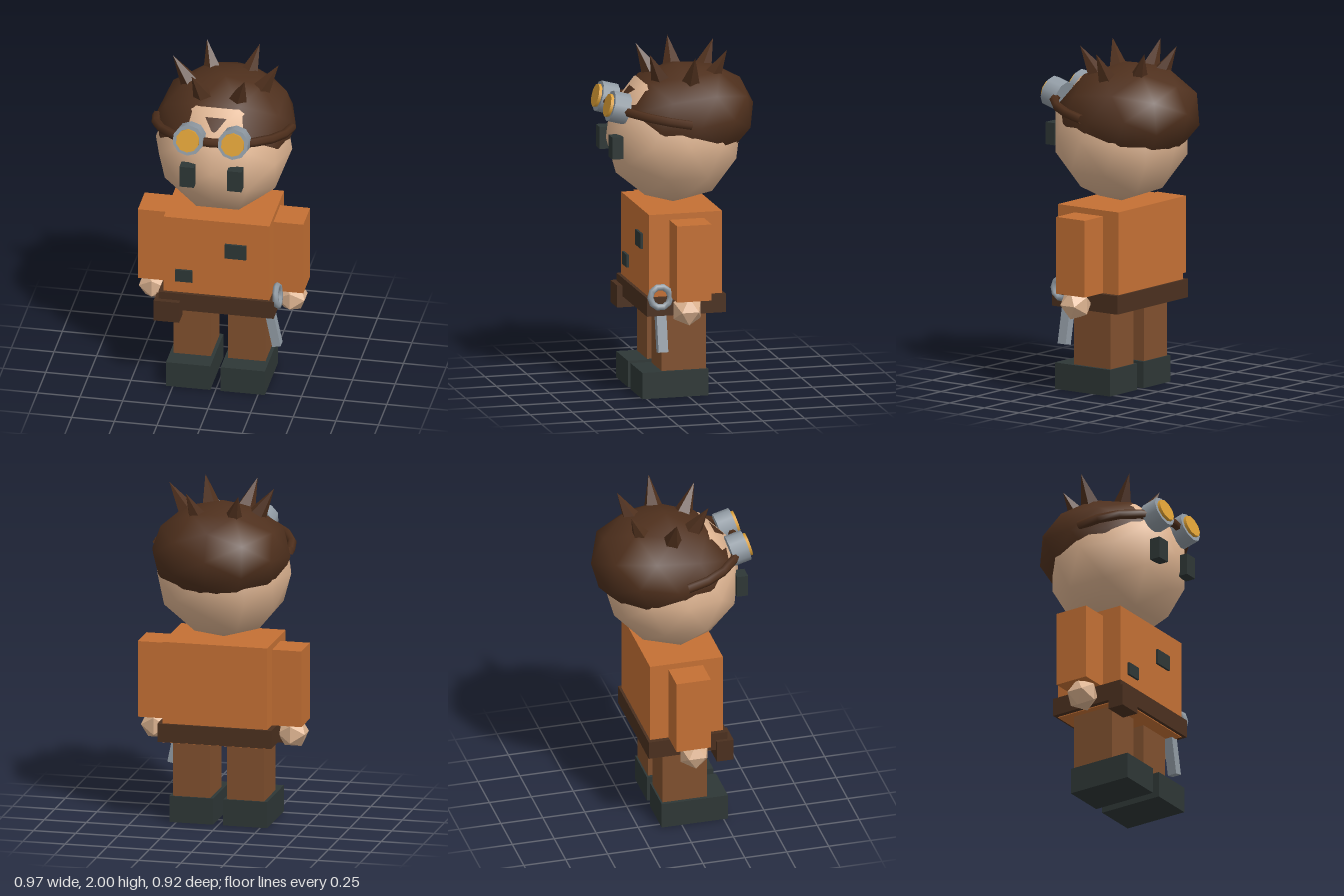
import * as THREE from 'three';

const mat = (name, color) => Object.assign(new THREE.MeshStandardMaterial({ color }), { name });

export function createModel() {
  const model = new THREE.Group();
  const orange = mat('orange jacket', 0xc47034);
  const trouser = mat('trouser brown', 0x80502e);
  const leather = mat('dark leather', 0x4b301f);
  const hairBrown = mat('hair brown', 0x4f301d);
  const charcoal = mat('charcoal', 0x2e3736);
  const skin = mat('skin', 0xdeb491);
  const metal = mat('grey metal', 0x919ba4);
  const amber = mat('amber glass', 0xdda036);
  const strapBrown = mat('strap brown', 0x4d2e1b);
  strapBrown.side = THREE.DoubleSide;

  function add(name, geometry, material, x = 0, y = 0, z = 0, parent = model) {
    const mesh = new THREE.Mesh(geometry, material);
    mesh.name = name;
    mesh.position.set(x, y, z);
    parent.add(mesh);
    return mesh;
  }
  // Box given by its limits on each axis
  function box(name, material, [x0, x1], [y0, y1], [z0, z1]) {
    return add(name, new THREE.BoxGeometry(x1 - x0, y1 - y0, z1 - z0), material,
      (x0 + x1) / 2, (y0 + y1) / 2, (z0 + z1) / 2);
  }
  const span = (s, a, b) => (s > 0 ? [a, b] : [-b, -a]);

  // Body, belt and jacket patches
  box('torso', orange, [-0.31, 0.31], [0.492, 1.09], [-0.195, 0.24]);
  box('belt', leather, [-0.338, 0.338], [0.497, 0.605], [-0.21, 0.26]);
  box('pouch', leather, [-0.36, -0.21], [0.43, 0.56], [0.19, 0.29]);
  box('chestPatch', charcoal, [0.05, 0.175], [0.86, 0.95], [0.23, 0.254]);
  box('lowerPatch', charcoal, [-0.24, -0.14], [0.68, 0.755], [0.23, 0.254]);

  // Limbs and eyes, mirrored
  for (const s of [1, -1]) {
    const side = s > 0 ? 'left' : 'right';
    box(side + 'Boot', charcoal, span(s, 0.03, 0.29), [0, 0.155], [-0.12, 0.275]);
    box(side + 'Leg', trouser, span(s, 0.05, 0.27), [0.15, 0.5], [-0.11, 0.155]);
    box(side + 'Arm', orange, span(s, 0.3, 0.485), [0.605, 1.055], [-0.085, 0.12]);
    add(side + 'Hand', new THREE.IcosahedronGeometry(0.095, 0), skin, s * 0.405, 0.54, 0.04);
    box(side + 'Eye', charcoal, span(s, 0.097, 0.182), [1.4, 1.53], [0.36, 0.425]);
  }

  // Head and hair cap
  add('head', new THREE.IcosahedronGeometry(0.4, 1), skin, 0, 1.49, 0.015);
  const hair = add('hair', new THREE.IcosahedronGeometry(1, 1), hairBrown, 0, 1.605, -0.045);
  hair.scale.set(0.41, 0.305, 0.42);
  hair.rotation.x = 0.1;

  // Ring of six hair spikes
  const up = new THREE.Vector3(0, 1, 0);
  for (let i = 0; i < 6; i++) {
    const a = (i * Math.PI) / 3;
    const tip = new THREE.Vector3(0.31 * Math.cos(a), 2, -0.035 + 0.266 * Math.sin(a));
    const base = new THREE.Vector3(0.18 * Math.cos(a), 1.79, -0.035 + 0.15 * Math.sin(a));
    const dir = tip.clone().sub(base);
    const cone = new THREE.ConeGeometry(0.075, dir.length(), 5).toNonIndexed();
    cone.computeVertexNormals();
    const spike = add('hairSpike', cone, hairBrown);
    spike.position.copy(base).add(tip).multiplyScalar(0.5);
    spike.quaternion.setFromUnitVectors(up, dir.normalize());
  }

  // Goggles pushed up on the forehead
  const strap = add('goggleStrap', new THREE.TorusGeometry(0.395, 0.027, 6, 10, Math.PI),
    strapBrown, 0, 1.625, 0.01);
  strap.rotation.x = Math.PI / 2 - 0.17;
  for (const s of [1, -1]) {
    const goggle = new THREE.Group();
    goggle.name = s > 0 ? 'leftGoggle' : 'rightGoggle';
    goggle.position.set(s * 0.132, 1.695, 0.377);
    goggle.rotation.x = Math.PI / 2 - 0.27;
    add('goggleRim', new THREE.CylinderGeometry(0.091, 0.091, 0.1, 10), metal, 0, 0, 0, goggle);
    add('goggleLens', new THREE.CylinderGeometry(0.068, 0.068, 0.03, 10), amber, 0, 0.053, 0, goggle);
    model.add(goggle);
  }

  // Wrench hung from the belt
  const handle = add('wrenchHandle', new THREE.BoxGeometry(0.05, 0.25, 0.058), metal, 0.318, 0.405, 0.17);
  handle.rotation.z = 0.2;
  const ring = add('wrenchRing', new THREE.TorusGeometry(0.06, 0.019, 6, 10), metal, 0.347, 0.61, 0.183);
  ring.rotation.set(0, Math.PI / 2, 0.1, 'ZYX');

  return model;
}
